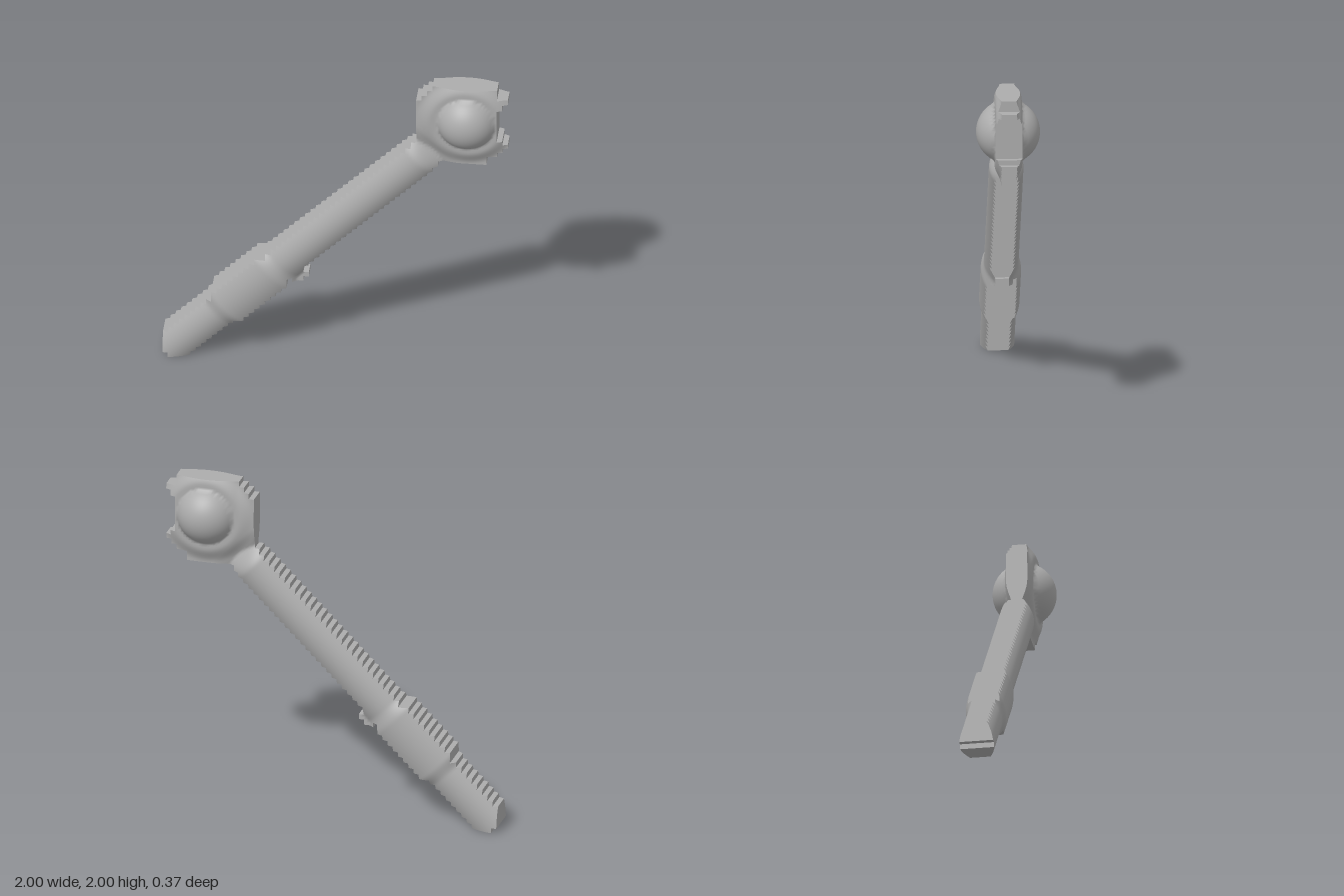
import * as THREE from 'three';

const N = 64, CELL = 2 / N, SUB = 2; // stair-step cells, each split for smooth faces
const smooth = (v, a, b) => THREE.MathUtils.smoothstep(v, a, b);

// Head outline: [row bottom, left, right], top to bottom
const headRows = [
  [1.969, 0.5625, 0.9375], [1.9375, 0.531, 0.9375], [1.906, 0.5, 1], [1.875, 0.469, 0.969],
  [1.656, 0.469, 0.9375], [1.625, 0.469, 0.969], [1.594, 0.5, 1], [1.5625, 0.5, 0.969],
  [1.531, 0.531, 0.9375], [1.5, 0.5625, 0.875], [1.469, 0.625, 0.875],
];

// Which part owns a cell (null = empty)
function partAt(i, j) {
  const x = -1 + (i + 0.5) * CELL, y = (j + 0.5) * CELL;
  if (i < 0 || j < 0 || i >= N || j >= N) return null;
  const row = headRows.find(r => y > r[0]);
  if (row && x > row[1] && x < row[2]) return 'head';
  const across = y - x, along = x + y;
  if (along > -0.3 && along < 0.3 && across > 0.84 && across < 1.18) return 'grip';
  if (along > -0.95 && along < 2.15 && across > 0.87 && across < 1.13) return 'shaft';
  if (x > -0.32 && x < -0.19 && y > 0.6 && y < 0.72) return 'trigger';
  if (x > -0.24 && x < -0.17 && y > 0.59 && y < 0.64) return 'trigger';
  if (x > -0.24 && x < -0.2 && y > 0.57 && y < 0.6) return 'trigger';
  return null;
}

// Half thickness of the body at any point
function depth(x, y) {
  const along = x + y;
  const fat = smooth(along, -0.38, -0.26) * (1 - smooth(along, 0.24, 0.38));
  const t = (y - x - 1.0) / (0.13 + 0.04 * fat);
  const rod = Math.max(0.04, 0.1 + 0.017 * fat - 0.028 * t * t);
  // Round ball in a thinner setting
  const d = Math.hypot(x - 0.76, y - 1.77);
  const ball = Math.sqrt(Math.max(0, 0.185 ** 2 - d * d));
  const setting = 0.078 - 0.036 * smooth(d, 0.2, 0.3) + 0.02 * (1 - smooth(x, 0.47, 0.58));
  const head = Math.max(ball, setting);
  const toHead = smooth(along, 1.95, 2.2);
  return toHead > 0 ? Math.max(rod * (1 - toHead), toHead * head) : rod;
}

function buildPart(name) {
  const pos = [], nor = [];
  const push = (p, n) => { pos.push(...p); nor.push(...n); };
  const quad = (p, n) => [0, 1, 2, 0, 2, 3].forEach(k => push(p[k], n[k]));
  const normal = (x, y, side) => {
    const e = 0.012;
    const v = new THREE.Vector3(
      (depth(x - e, y) - depth(x + e, y)) / (2 * e),
      (depth(x, y - e) - depth(x, y + e)) / (2 * e), 1).normalize();
    return [v.x, v.y, v.z * side];
  };
  const s = CELL / SUB;
  for (let i = 0; i < N; i++) for (let j = 0; j < N; j++) {
    if (partAt(i, j) !== name) continue;
    const x0 = -1 + i * CELL, y0 = j * CELL;
    // Swelling front and back faces
    for (let a = 0; a < SUB; a++) for (let b = 0; b < SUB; b++) {
      const x = x0 + a * s, y = y0 + b * s;
      const c = [[x, y], [x + s, y], [x + s, y + s], [x, y + s]];
      for (const side of [1, -1]) {
        const ring = side > 0 ? c : [...c].reverse();
        quad(ring.map(([u, v]) => [u, v, side * depth(u, v)]), ring.map(([u, v]) => normal(u, v, side)));
      }
    }
    // Stepped walls along the outline
    const x1 = x0 + CELL, y1 = y0 + CELL;
    const edges = [
      [0, -1, x0, y0, x1, y0], [1, 0, x1, y0, x1, y1],
      [0, 1, x1, y1, x0, y1], [-1, 0, x0, y1, x0, y0],
    ];
    for (const [nx, ny, ax, ay, bx, by] of edges) {
      if (partAt(i + nx, j + ny)) continue;
      for (let k = 0; k < SUB; k++) {
        const at = f => [ax + (bx - ax) * f, ay + (by - ay) * f];
        const p = at(k / SUB), q = at((k + 1) / SUB), hp = depth(...p), hq = depth(...q);
        quad([[...p, -hp], [...q, -hq], [...q, hq], [...p, hp]], Array(4).fill([nx, ny, 0]));
      }
    }
  }
  const g = new THREE.BufferGeometry();
  g.setAttribute('position', new THREE.Float32BufferAttribute(pos, 3));
  g.setAttribute('normal', new THREE.Float32BufferAttribute(nor, 3));
  return g;
}

export function createModel() {
  const group = new THREE.Group();
  group.name = 'staff';
  const grey = new THREE.MeshStandardMaterial({ color: 0xacacac });
  grey.name = 'plain grey';
  for (const name of ['shaft', 'grip', 'trigger', 'head']) {
    const mesh = new THREE.Mesh(buildPart(name), grey);
    mesh.name = name;
    group.add(mesh);
  }
  return group;
}
